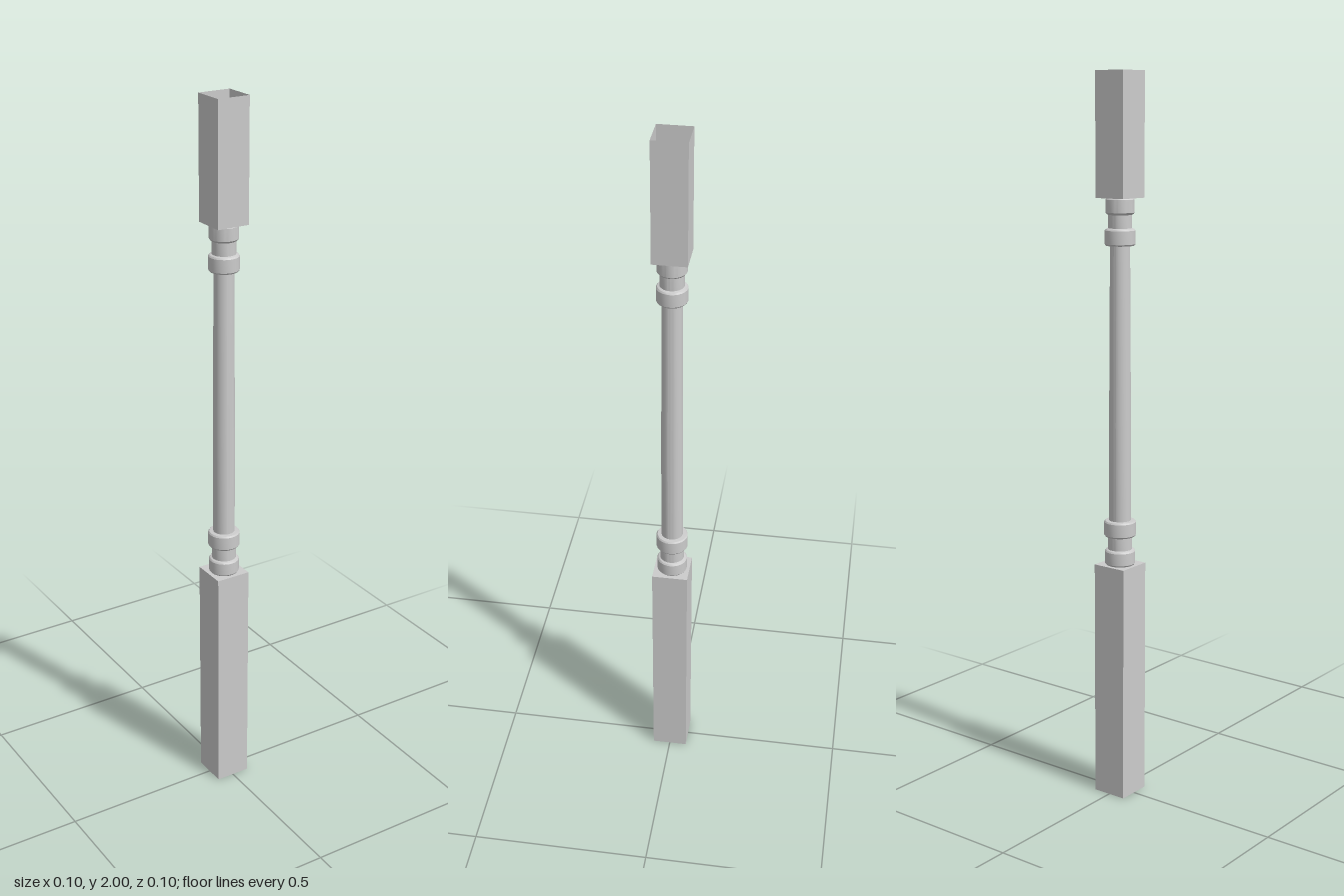
import * as THREE from 'three';
import { toCreasedNormals } from 'three/addons/utils/BufferGeometryUtils.js';

const material = new THREE.MeshStandardMaterial({ color: 0xcccccc, side: THREE.DoubleSide });

// Hollow square sleeve, open at its outer end, closed by a plate where it meets the turned shaft
function squareSleeve(name, half, y0, y1, plateAtTop) {
  const group = new THREE.Group();
  group.name = name;
  const r = half * Math.SQRT2;
  const walls = new THREE.CylinderGeometry(r, r, y1 - y0, 4, 1, true);
  walls.rotateY(Math.PI / 4);
  const wallMesh = new THREE.Mesh(toCreasedNormals(walls, 0.5), material);
  wallMesh.name = name + 'Walls';
  wallMesh.position.y = (y0 + y1) / 2;

  const plate = new THREE.PlaneGeometry(half * 2, half * 2);
  plate.rotateX(plateAtTop ? -Math.PI / 2 : Math.PI / 2);
  const plateMesh = new THREE.Mesh(plate, material);
  plateMesh.name = name + 'Plate';
  plateMesh.position.y = plateAtTop ? y1 : y0;
  group.add(wallMesh, plateMesh);
  return group;
}

// Part turned on the vertical axis from [radius, height] pairs
function turned(name, profile) {
  const points = profile.map(([r, y]) => new THREE.Vector2(r, y));
  const mesh = new THREE.Mesh(toCreasedNormals(new THREE.LatheGeometry(points, 24), 0.5), material);
  mesh.name = name;
  return mesh;
}

// Two raised bands joined by a narrower neck; s is the direction away from the square sleeve
function collar(name, y, s, bandNear, bandFar, neck, shaft) {
  const profile = [
    [bandNear - 0.003, 0], [bandNear, 0.004], [bandNear, 0.038], [bandNear - 0.003, 0.042],
    [neck, 0.044], [neck, 0.079],
    [bandFar - 0.003, 0.081], [bandFar, 0.085], [bandFar, 0.121], [bandFar - 0.003, 0.125],
    [shaft, 0.126],
  ].map(([r, h]) => [r, y + s * h]);
  return turned(name, s > 0 ? profile : profile.reverse());
}

export function createModel() {
  const model = new THREE.Group();
  model.name = 'porchPost';
  model.add(
    squareSleeve('squareBase', 0.05, 0, 0.67, true),
    squareSleeve('squareTop', 0.046, 1.673, 2, false),
    collar('lowerCollar', 0.67, 1, 0.042, 0.044, 0.034, 0.03),
    collar('upperCollar', 1.673, -1, 0.039, 0.041, 0.032, 0.027),
    // Gently tapering round shaft
    turned('shaft', [[0.03, 0.796], [0.03, 1.07], [0.027, 1.547]]),
  );
  return model;
}
